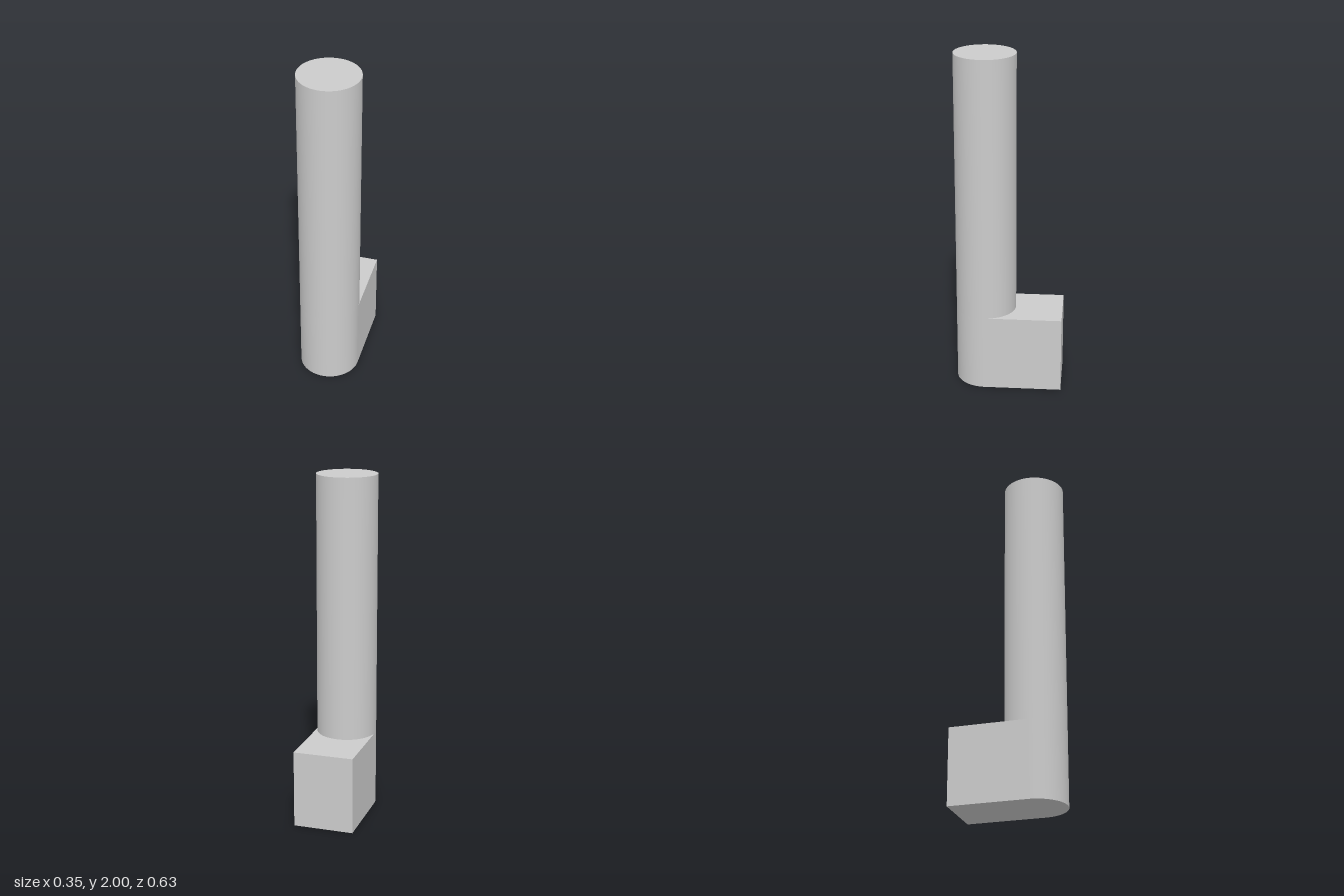
import * as THREE from 'three';
import { toCreasedNormals } from 'three/addons/utils/BufferGeometryUtils.js';

const RADIUS = 0.177;
const AXIS_Z = 0.138;
const BACK_Z = -0.316;
const FOOT_HEIGHT = 0.455;
const TOTAL_HEIGHT = 2;

export function createModel() {
  const group = new THREE.Group();
  const material = new THREE.MeshStandardMaterial({ color: 0xcccccc });

  // Foot: square at the back, half round at the front (shape y becomes -z)
  const outline = new THREE.Shape();
  outline.moveTo(RADIUS, -BACK_Z);
  outline.lineTo(-RADIUS, -BACK_Z);
  outline.lineTo(-RADIUS, -AXIS_Z);
  outline.absarc(0, -AXIS_Z, RADIUS, Math.PI, Math.PI * 2, false);
  outline.closePath();
  const footGeometry = new THREE.ExtrudeGeometry(outline, {
    depth: FOOT_HEIGHT, bevelEnabled: false, curveSegments: 24,
  });
  footGeometry.rotateX(-Math.PI / 2);
  const foot = new THREE.Mesh(toCreasedNormals(footGeometry, 0.5), material);
  foot.name = 'foot';
  group.add(foot);

  // Round column rising flush from the foot's rounded front
  const height = TOTAL_HEIGHT - FOOT_HEIGHT;
  const column = new THREE.Mesh(new THREE.CylinderGeometry(RADIUS, RADIUS, height, 96), material);
  column.name = 'column';
  column.position.set(0, FOOT_HEIGHT + height / 2, AXIS_Z);
  group.add(column);

  return group;
}
